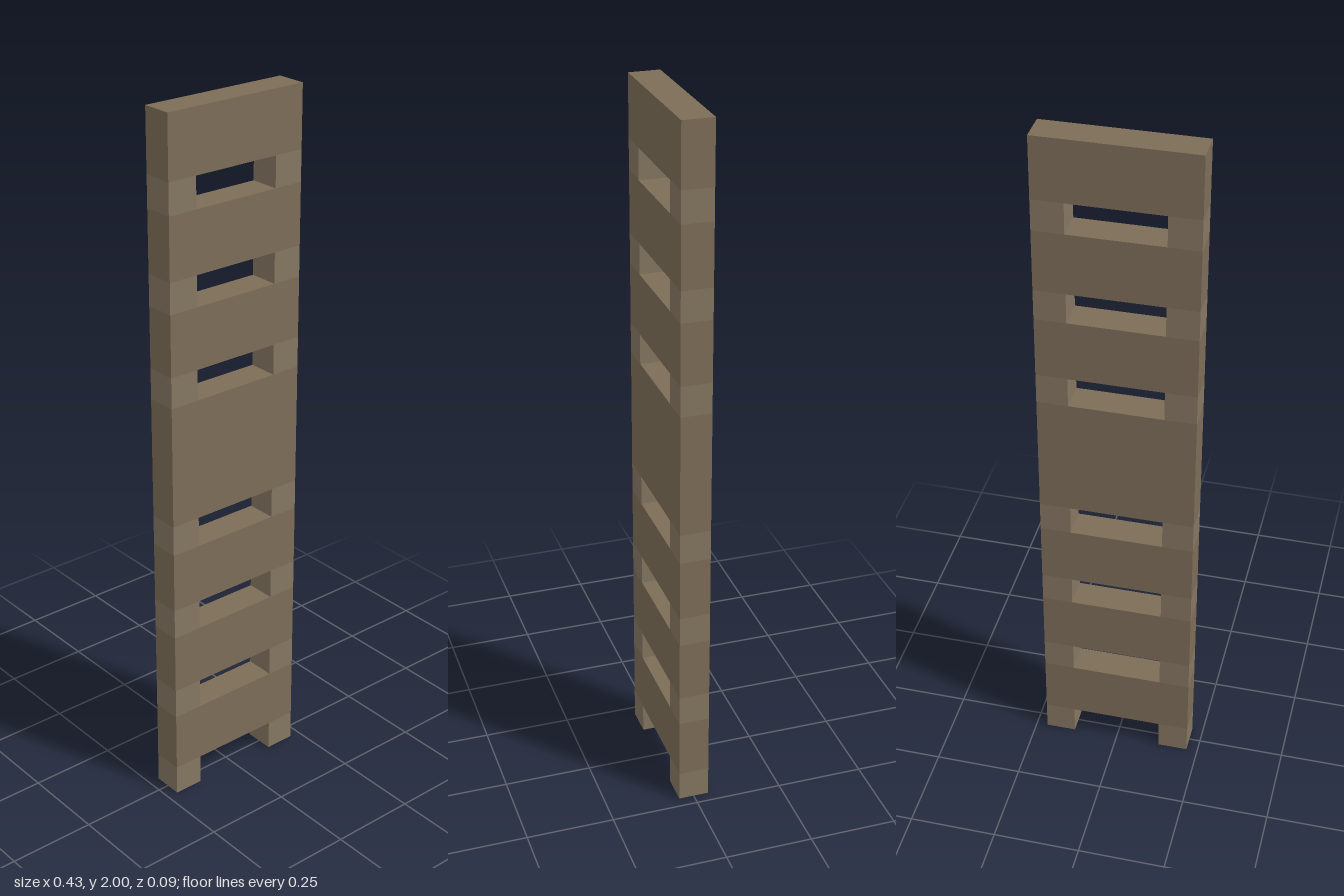
import * as THREE from 'three';

const U = 2 / 23; // one block: rail width, gap height and thickness

export function createModel() {
  const model = new THREE.Group();
  model.name = 'ladder';
  const slatMaterial = new THREE.MeshStandardMaterial({ color: 0x7d6d58 });
  const railMaterial = new THREE.MeshStandardMaterial({ color: 0x857661 });

  // Box given in block units, standing on height y
  function block(name, material, width, height, x, y) {
    const mesh = new THREE.Mesh(new THREE.BoxGeometry(width * U, height * U, U), material);
    mesh.position.set(x * U, (y + height / 2) * U, 0);
    mesh.name = name;
    model.add(mesh);
  }

  // Each step is a pair of rail blocks carrying a full-width slat; the middle slat is double height
  let y = 0;
  [2, 2, 2, 4, 2, 2, 2].forEach((height, i) => {
    block(`leftRail${i + 1}`, railMaterial, 1, 1, 2, y);
    block(`rightRail${i + 1}`, railMaterial, 1, 1, -2, y);
    block(`slat${i + 1}`, slatMaterial, 5, height, 0, y + 1);
    y += 1 + height;
  });

  return model;
}
